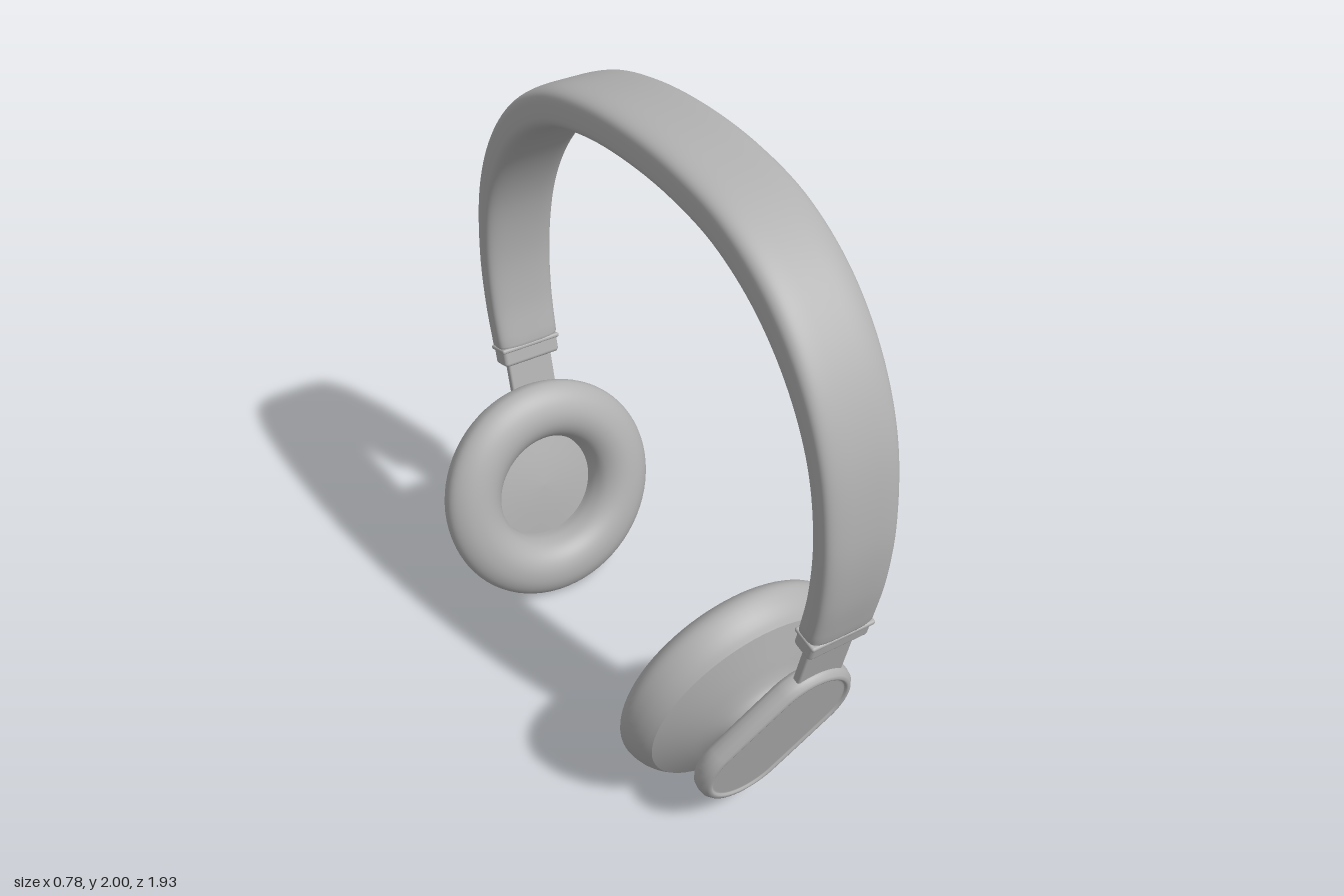
import * as THREE from 'three';
import { RoundedBoxGeometry } from 'three/addons/geometries/RoundedBoxGeometry.js';

const grey = new THREE.MeshStandardMaterial({ color: 0xb0b0b0 });
grey.name = 'plain grey';

const BAND_X = 0.108; // the band sits off-centre from the ear cups
const TILT = 0.245;   // lean of the ear cups

function add(parent, name, geometry, x = 0, y = 0, z = 0) {
  const mesh = new THREE.Mesh(geometry, grey);
  mesh.name = name;
  mesh.position.set(x, y, z);
  parent.add(mesh);
  return mesh;
}

// Turned part with its axis along z; points are [radius, z]
function turned(points, segments = 72) {
  const g = new THREE.LatheGeometry(points.map(([r, z]) => new THREE.Vector2(r, z)), segments);
  return g.rotateX(Math.PI / 2);
}

function smoothPoints(points, count) {
  const curve = new THREE.SplineCurve(points.map(([r, z]) => new THREE.Vector2(r, z)));
  return curve.getPoints(count).map((p) => [p.x, p.y]);
}

// Arched band: superellipse sections swept along the arch
function bandGeometry() {
  const half = [[0.872, 0.785], [0.906, 0.95], [0.916, 1.15], [0.877, 1.39], [0.78, 1.59],
    [0.63, 1.755], [0.44, 1.866], [0.23, 1.917]];
  const path = [...half, [0, 1.933], ...half.slice().reverse().map(([z, y]) => [-z, y])];
  const curve = new THREE.CatmullRomCurve3(path.map(([z, y]) => new THREE.Vector3(0, y, z)));
  const steps = 110, around = 56;
  const rings = [[0, 0], [0, 0.9], [0, 0.94]];
  for (let i = 0; i <= steps; i++) rings.push([0.003 + 0.994 * i / steps, 1]);
  rings.push([1, 0.94], [1, 0.9], [1, 0]);

  const position = [], index = [];
  const power = (v) => Math.sign(v) * Math.sqrt(Math.abs(v));
  rings.forEach(([t, scale], i) => {
    const c = curve.getPointAt(t), tan = curve.getTangentAt(t);
    const w = scale * THREE.MathUtils.mapLinear(c.y, 0.785, 1.933, 0.114, 0.145);
    const h = scale * (0.046 + 0.0215 * THREE.MathUtils.smoothstep(c.y, 1.15, 1.93));
    for (let j = 0; j < around; j++) {
      const a = j / around * Math.PI * 2;
      const n = h * power(Math.sin(a));
      position.push(BAND_X + w * power(Math.cos(a)), c.y - tan.z * n, c.z + tan.y * n);
      if (i === rings.length - 1) continue;
      const k = (j + 1) % around, p = i * around, q = p + around;
      index.push(p + j, q + j, p + k, q + j, q + k, p + k);
    }
  });
  const g = new THREE.BufferGeometry();
  g.setAttribute('position', new THREE.Float32BufferAttribute(position, 3));
  g.setIndex(index);
  g.computeVertexNormals();
  return g;
}

// Oblong cover: a turned disc pulled apart along a diagonal
function coverGeometry(s) {
  const g = turned([[0, 0.0875], [0.14, 0.0875], [0.145, 0.0875], [0.16, 0.094], [0.169, 0.107],
    [0.171, 0.125], [0.168, 0.145], [0.157, 0.159], [0.147, 0.1625], [0.141, 0.161],
    [0.138, 0.156], [0.135, 0.155], [0.13, 0.155], [0, 0.155]], 64);
  const p = g.attributes.position;
  for (let i = 0; i < p.count; i++) {
    const x = p.getX(i);
    if (Math.abs(x) > 1e-5) p.setX(i, x + Math.sign(x) * 0.117);
  }
  return g.rotateZ(s * Math.PI / 4);
}

// One ear side, local z pointing outward; s mirrors it in x before it is turned round
function earSide(s) {
  const side = new THREE.Group();
  side.name = s > 0 ? 'frontEarSide' : 'backEarSide';
  side.rotation.y = s > 0 ? 0 : Math.PI;
  const ear = new THREE.Group();
  ear.name = 'tiltedEarPiece';
  ear.position.set(0, 0.362, 0.638);
  ear.rotation.x = TILT;
  side.add(ear);

  // Padding and the shallow dish inside it
  add(ear, 'earCushion', turned(smoothPoints([[0.185, -0.045], [0.188, -0.085], [0.205, -0.128],
    [0.24, -0.157], [0.285, -0.167], [0.335, -0.156], [0.373, -0.13], [0.389, -0.098],
    [0.381, -0.055], [0.364, -0.022], [0.345, 0]], 40)));
  add(ear, 'innerDish', turned([[0, -0.062], [0.06, -0.06], [0.12, -0.054], [0.195, -0.045]]));

  // Shell flaring into the neck behind the cover
  add(ear, 'cupShell', turned(smoothPoints([[0.345, 0], [0.295, 0.02], [0.245, 0.04],
    [0.2, 0.058], [0.17, 0.075], [0.155, 0.095]], 24)));
  add(ear, 'outerCover', coverGeometry(s));

  // Slider and the collar at the band end
  const x = s * BAND_X;
  add(ear, 'sliderStem', new RoundedBoxGeometry(0.17, 0.33, 0.028, 3, 0.008), x, 0.275, 0.125);
  add(ear, 'bandCollar', new RoundedBoxGeometry(0.214, 0.075, 0.078, 4, 0.014), x, 0.437, 0.125);
  add(ear, 'collarLip', new RoundedBoxGeometry(0.224, 0.016, 0.09, 3, 0.007), x, 0.461, 0.125);
  return side;
}

export function createModel() {
  const model = new THREE.Group();
  model.name = 'headphones';
  add(model, 'headband', bandGeometry());
  model.add(earSide(1), earSide(-1));
  return model;
}
